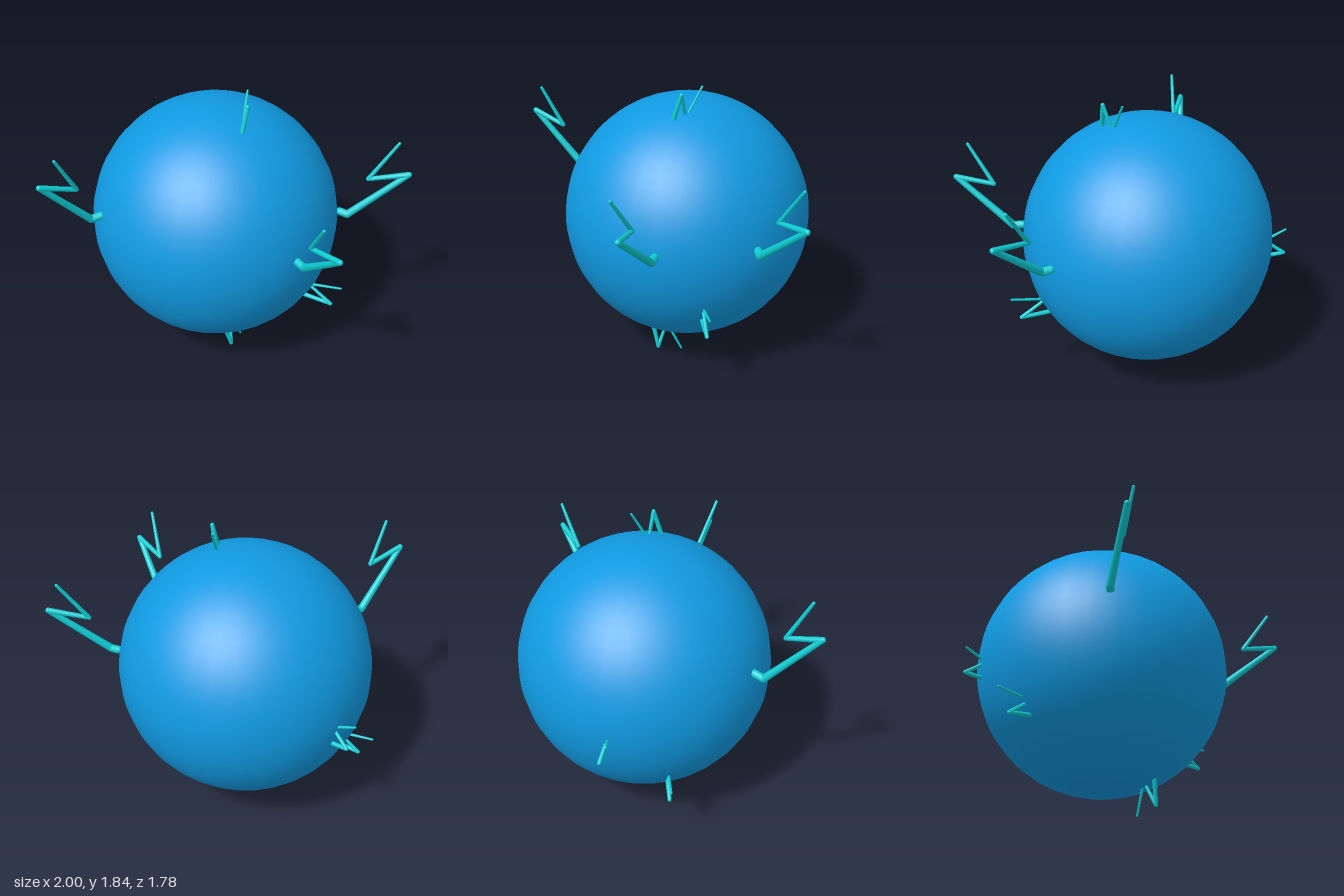
import * as THREE from 'three';
import { mergeGeometries } from 'three/addons/utils/BufferGeometryUtils.js';

const bodyBlue = new THREE.MeshStandardMaterial({ color: 0x109ae2 });
bodyBlue.name = 'bodyBlue';
const boltCyan = new THREE.MeshStandardMaterial({ color: 0x0ccbd2 });
boltCyan.name = 'boltCyan';

// Zigzag rod tapering from r0 at the base to r1 at the tip, with rounded joints
function zigzag(name, coords, r0, r1) {
  const points = coords.map((c) => new THREE.Vector3(...c));
  const lengths = [0];
  for (let i = 1; i < points.length; i++) {
    lengths.push(lengths[i - 1] + points[i].distanceTo(points[i - 1]));
  }
  const total = lengths[lengths.length - 1];
  const radius = (i) => THREE.MathUtils.lerp(r0, r1, lengths[i] / total);
  const up = new THREE.Vector3(0, 1, 0);
  const parts = [];
  points.forEach((p, i) => {
    parts.push(new THREE.SphereGeometry(radius(i), 12, 8).translate(p.x, p.y, p.z));
    if (i === 0) return;
    const a = points[i - 1];
    const dir = p.clone().sub(a);
    const mid = p.clone().add(a).multiplyScalar(0.5);
    const rod = new THREE.CylinderGeometry(radius(i), radius(i - 1), dir.length(), 12, 1, true);
    rod.applyQuaternion(new THREE.Quaternion().setFromUnitVectors(up, dir.normalize()));
    parts.push(rod.translate(mid.x, mid.y, mid.z));
  });
  const mesh = new THREE.Mesh(mergeGeometries(parts), boltCyan);
  mesh.name = name;
  return mesh;
}

export function createModel() {
  const group = new THREE.Group();
  group.name = 'sparkingBall';

  // Round body
  const body = new THREE.Mesh(new THREE.SphereGeometry(0.8, 32, 32), bodyBlue);
  body.name = 'body';
  body.position.set(-0.135, 0.92, -0.09);
  group.add(body);

  // Three large bolts with a bent root
  const large = {
    frontBolt: [[-0.6, 1.11, 0.53], [-0.642, 1.1, 0.58], [-0.77, 1.455, 0.87], [-0.64, 1.385, 0.69], [-0.675, 1.64, 0.82]],
    leftFrontBolt: [[0.61, 0.985, 0.21], [0.665, 0.98, 0.235], [0.97, 1.28, 0.445], [0.75, 1.235, 0.35], [0.875, 1.48, 0.475]],
    leftBackBolt: [[0.61, 0.985, -0.41], [0.665, 0.98, -0.41], [0.985, 1.28, -0.595], [0.755, 1.235, -0.49], [0.9, 1.485, -0.59]],
  };
  for (const [name, points] of Object.entries(large)) group.add(zigzag(name, points, 0.026, 0.01));

  // Small sparks around the body
  const small = {
    topSpark: [[0.125, 1.66, 0.035], [0.135, 1.815, -0.012], [0.085, 1.65, -0.047], [0.06, 1.84, -0.15]],
    bottomSpark: [[0.075, 0.2, 0.167], [0.112, 0.045, 0.138], [0.07, 0.2, 0.075], [0.1, 0.01, -0.02]],
    leftSpark: [[0.53, 0.487, -0.09], [0.725, 0.483, -0.09], [0.56, 0.585, -0.09], [0.785, 0.63, -0.095]],
    rightSpark: [[-0.76, 0.435, 0.01], [-0.905, 0.412, 0.01], [-0.76, 0.525, 0.01], [-0.99, 0.55, 0.012]],
    rightBackSpark: [[-0.85, 0.775, -0.375], [-0.965, 0.792, -0.403], [-0.85, 0.875, -0.35], [-0.992, 0.935, -0.36]],
  };
  for (const [name, points] of Object.entries(small)) group.add(zigzag(name, points, 0.015, 0.007));

  return group;
}
